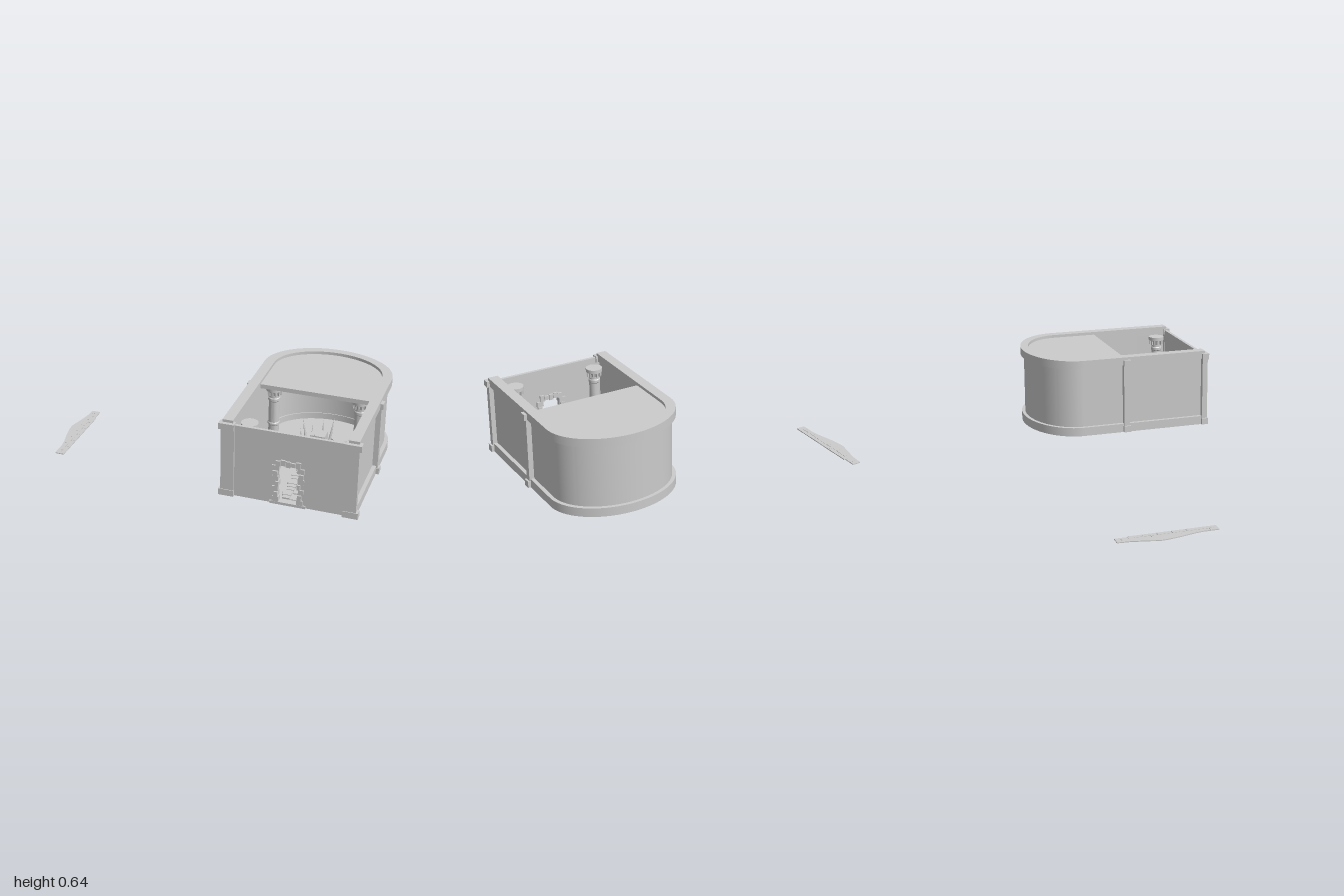
import * as THREE from 'three';
import { toCreasedNormals } from 'three/addons/utils/BufferGeometryUtils.js';

const mat = new THREE.MeshStandardMaterial({ color: 0xcccccc, side: THREE.DoubleSide });
const CX = 0.605; // centre line of the building

function add(parent, name, geometry, x = 0, y = 0, z = 0) {
  const mesh = new THREE.Mesh(geometry, mat);
  mesh.name = name;
  mesh.position.set(x, y, z);
  parent.add(mesh);
  return mesh;
}

// Box given by its limits on each axis
function box(parent, name, x0, x1, y0, y1, z0, z1) {
  return add(parent, name, new THREE.BoxGeometry(x1 - x0, y1 - y0, z1 - z0),
    (x0 + x1) / 2, (y0 + y1) / 2, (z0 + z1) / 2);
}

// Plan shape (drawn with y = -z) raised between two heights
function raise(parent, name, shape, y0, y1, x = 0) {
  const g = new THREE.ExtrudeGeometry(shape, { depth: y1 - y0, bevelEnabled: false, curveSegments: 40 });
  g.rotateX(-Math.PI / 2);
  return add(parent, name, toCreasedNormals(g, 0.5), x, y0, 0);
}

// Round-backed plan of half width w, rounded end depth r and front line zf
function apse(w, r, zf) {
  const s = new THREE.Shape();
  s.moveTo(-w, -zf);
  s.lineTo(w, -zf);
  s.lineTo(w, 0.25);
  s.absellipse(0, 0.25, w, r, 0, Math.PI, false);
  s.closePath();
  return s;
}

// U-shaped band, open to the front
function band(w, r, wi, ri, zf) {
  const s = new THREE.Shape();
  s.moveTo(wi, -zf);
  s.lineTo(w, -zf);
  s.lineTo(w, 0.25);
  s.absellipse(0, 0.25, w, r, 0, Math.PI, false);
  s.lineTo(-w, -zf);
  s.lineTo(-wi, -zf);
  s.lineTo(-wi, 0.25);
  s.absellipse(0, 0.25, wi, ri, Math.PI, 0, true);
  s.closePath();
  return s;
}

// Round column: base, ringed shaft, fluted capital and flat cap
function column(parent, x, z) {
  const g = new THREE.Group();
  g.name = 'column';
  const p = [[0, 0.2], [0.045, 0.2], [0.045, 0.225], [0.03, 0.235], [0.03, 0.36], [0.034, 0.365],
    [0.034, 0.375], [0.03, 0.38], [0.03, 0.51], [0.034, 0.515], [0.034, 0.53], [0.03, 0.535], [0.03, 0.56]];
  const geo = new THREE.LatheGeometry(p.map(([a, b]) => new THREE.Vector2(a, b)), 24);
  add(g, 'shaft', toCreasedNormals(geo, 0.5));
  add(g, 'capital', new THREE.CylinderGeometry(0.042, 0.03, 0.03, 24), 0, 0.565, 0);
  for (let i = 0; i < 12; i++) {
    const a = i * Math.PI / 6;
    const m = add(g, 'flute', new THREE.BoxGeometry(0.008, 0.03, 0.008), 0.039 * Math.sin(a), 0.565, 0.039 * Math.cos(a));
    m.rotation.y = a;
  }
  add(g, 'cap', new THREE.CylinderGeometry(0.047, 0.047, 0.02, 32), 0, 0.588, 0);
  g.position.set(x, 0, z);
  parent.add(g);
}

export function createModel() {
  const model = new THREE.Group();
  const hall = new THREE.Group();
  hall.name = 'hall';
  hall.position.x = CX;
  model.add(hall);

  // Floor, walls, trims and the roof over the rounded half
  raise(hall, 'floor', apse(0.36, 0.265, 0.5), 0.19, 0.2);
  raise(hall, 'wall', band(0.348, 0.255, 0.322, 0.235, 0.5), 0.2, 0.6);
  raise(hall, 'topTrim', band(0.37, 0.275, 0.312, 0.23, 0.5), 0.594, 0.642);
  raise(hall, 'bottomTrim', band(0.37, 0.275, 0.312, 0.23, 0.5), 0.186, 0.237);
  raise(hall, 'roof', apse(0.32, 0.24, 0.015), 0.6, 0.625);

  // Front wall with doorway
  const front = new THREE.Shape();
  front.moveTo(-0.37, 0.19);
  front.lineTo(-0.055, 0.19);
  front.lineTo(-0.055, 0.43);
  front.lineTo(0.055, 0.43);
  front.lineTo(0.055, 0.19);
  front.lineTo(0.37, 0.19);
  front.lineTo(0.37, 0.62);
  front.lineTo(-0.37, 0.62);
  front.closePath();
  add(hall, 'frontWall', new THREE.ExtrudeGeometry(front, { depth: 0.018, bevelEnabled: false }), 0, 0, 0.488);
  box(hall, 'doorSill', -0.1, 0.1, 0.19, 0.205, 0.475, 0.515);

  // Rough stone door surround
  const widths = [0.035, 0.022, 0.03, 0.018, 0.034, 0.026, 0.04];
  for (const side of [-1, 1]) {
    widths.forEach((w, i) => {
      const y = 0.205 + i * 0.032;
      const inner = 0.05 + (i % 3) * 0.004;
      const a = side * inner, b = side * (inner + w);
      box(hall, 'jambStone', Math.min(a, b), Math.max(a, b), y, y + 0.029, 0.477, 0.514 + (i % 2) * 0.005);
    });
  }
  for (let i = 0; i < 5; i++) {
    const x = -0.07 + i * 0.028;
    box(hall, 'lintelStone', x, x + 0.026, 0.425 + (i % 2) * 0.006, 0.455 + ((i * 2) % 3) * 0.004, 0.477, 0.516);
  }

  // Corner and middle pillars with square blocks at both ends
  for (const s of [-1, 1]) {
    const span = (name, a, b, ...r) => box(hall, name, Math.min(s * a, s * b), Math.max(s * a, s * b), ...r);
    span('cornerPillar', 0.3, 0.375, 0.19, 0.62, 0.485, 0.517);
    span('midPillar', 0.34, 0.377, 0.2, 0.62, -0.01, 0.026);
    for (const [y0, y1] of [[0.188, 0.225], [0.592, 0.627]]) {
      span('cornerBlock', 0.3, 0.387, y0, y1, 0.48, 0.521);
      span('midBlock', 0.34, 0.387, y0, y1, -0.012, 0.03);
    }
    column(hall, s * 0.247, 0.41);
    column(hall, s * 0.247, -0.04);
  }

  // Brick path from the door inwards, two uneven rows
  for (let i = 0; i < 15; i++) {
    const z = 0.02 + i * 0.03;
    const h = ((i * 7) % 4) * 0.0015;
    box(hall, 'pathBrick', -0.058 + (i % 3) * 0.008, -0.002, 0.2, 0.206 + h, z, z + 0.027);
    box(hall, 'pathBrick', 0.002, 0.058, 0.2, 0.208 - h, z, z + 0.028);
  }

  // Stepped altar ringed with spikes under the roof
  box(hall, 'altarStep', -0.07, 0.07, 0.2, 0.23, -0.19, -0.05);
  box(hall, 'altar', -0.043, 0.043, 0.23, 0.3, -0.16, -0.08);
  for (let i = 0; i < 10; i++) {
    const a = i * Math.PI / 5 + 0.3;
    const h = 0.1 + (i % 3) * 0.035;
    const m = add(hall, 'spike', new THREE.ConeGeometry(0.012, h, 6), 0.095 * Math.cos(a), 0.2 + h / 2, -0.12 + 0.095 * Math.sin(a));
    m.rotation.set(0.2 * Math.sin(a), 0, -0.2 * Math.cos(a));
  }

  // Small stone poking out below the floor
  const stone = add(hall, 'stone', new THREE.DodecahedronGeometry(0.03), 0.11, 0.184, -0.34);
  stone.scale.set(1, 0.3, 1);
  stone.rotation.z = -0.15;

  // Separate flat slab of paving lying to the side
  const slab = new THREE.Shape();
  slab.moveTo(-0.955, -0.12);
  slab.lineTo(-0.9, -0.12);
  slab.lineTo(-0.9, 0.36);
  slab.lineTo(-0.908, 0.36);
  slab.lineTo(-0.908, 0.44);
  slab.lineTo(-0.96, 0.44);
  slab.lineTo(-0.965, 0.37);
  slab.splineThru([[-0.985, 0.28], [-1, 0.21], [-0.985, 0.11], [-0.965, 0.03], [-0.955, -0.03]].map(([x, y]) => new THREE.Vector2(x, y)));
  slab.closePath();
  raise(model, 'pavingSlab', slab, 0, 0.005);
  for (let i = 0; i < 13; i++) {
    const z = -0.41 + i * 0.04;
    box(model, 'pavingJoint', -0.95 + (i % 2) * 0.02, -0.925 + (i % 2) * 0.02, 0.004, 0.0065, z, z + 0.004);
  }
  box(model, 'pavingSeam', -0.929, -0.926, 0.004, 0.0065, -0.34, 0.1);
  return model;
}
